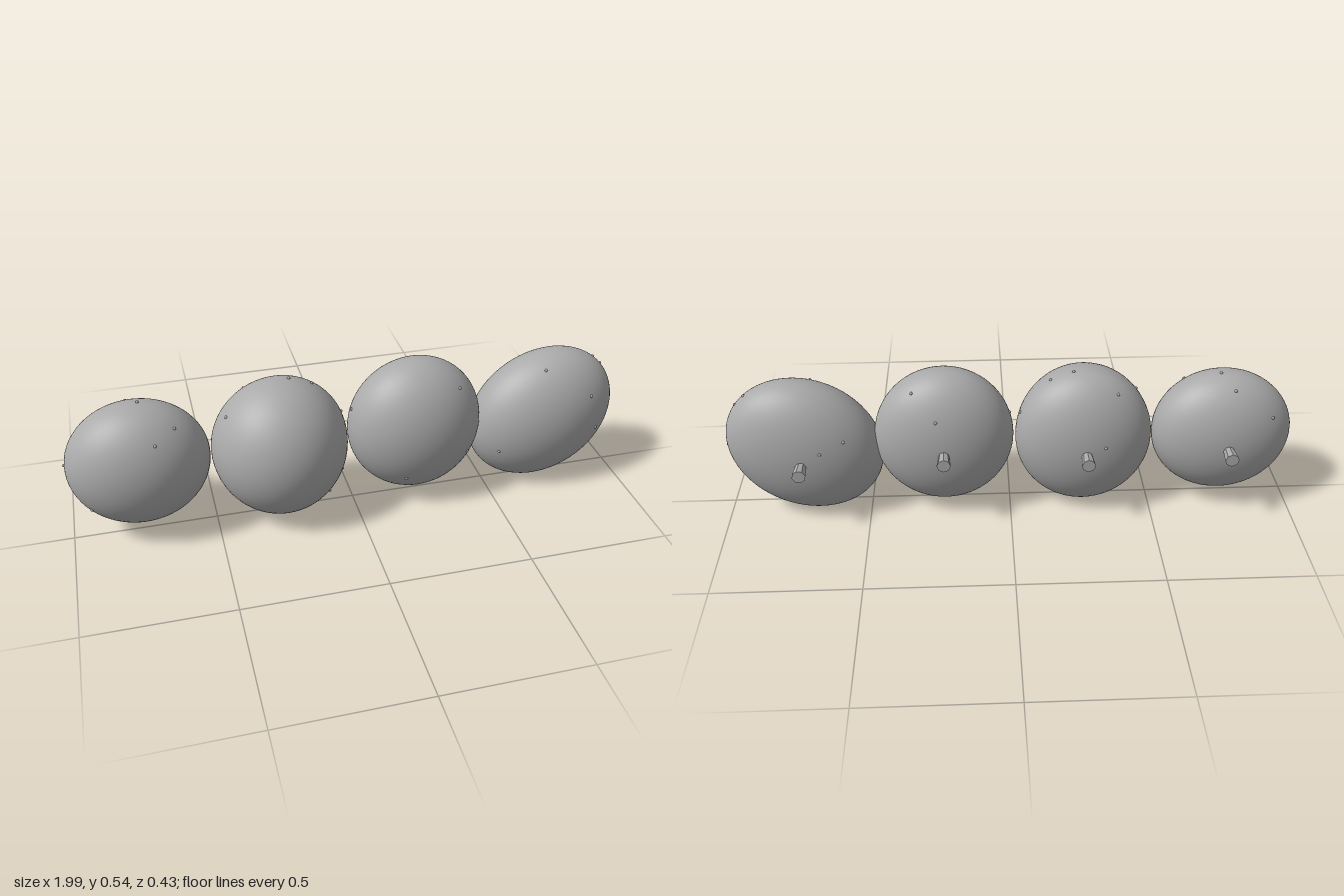
import * as THREE from 'three';

const SEAM = -0.017; // z plane of each body's widest outline
const BACK = 0.145; // depth behind that plane

// rim: bead angles around the outline in degrees; face: beads [x, y, side], side 1 = front, -1 = back
const BODIES = [
  { x: -0.748, y: 0.279, rx: 0.245, ry: 0.229, front: 0.175, tilt: 0,
    rim: [85, 175, 218, 250, 266, 281, 310],
    face: [[-0.69, 0.414, 1], [-0.62, 0.44, 1], [-0.922, 0.163, 1], [-0.765, 0.477, -1], [-0.9, 0.38, -1]] },
  { x: -0.26, y: 0.271, rx: 0.24, ry: 0.258, front: 0.234, tilt: 0,
    rim: [22, 60, 80, 278, 300],
    face: [[-0.444, 0.43, 1], [-0.05, 0.174, 1], [-0.107, 0.115, 1], [-0.366, 0.47, -1], [-0.323, 0.3, -1]] },
  { x: 0.23, y: 0.285, rx: 0.243, ry: 0.255, front: 0.178, tilt: 0,
    rim: [161, 329],
    face: [[0.366, 0.452, 1], [0.4, 0.198, 1], [0.168, 0.136, 1], [0.254, 0.41, -1], [0.334, 0.489, -1]] },
  { x: 0.717, y: 0.255, rx: 0.2815, ry: 0.239, front: 0.17, tilt: 0.56,
    rim: [6, 17, 325],
    face: [[0.69, 0.47, 1], [0.853, 0.37, 1], [0.89, 0.23, 1], [0.524, 0.174, 1], [0.57, 0.33, -1], [0.65, 0.3, -1]] },
];

// Ellipsoid whose front half is deeper than its back half, with smooth normals
function bodyGeometry({ rx, ry, front }) {
  const geo = new THREE.SphereGeometry(1, 64, 40).rotateX(Math.PI / 2);
  const p = geo.attributes.position;
  const n = new THREE.Vector3();
  for (let i = 0; i < p.count; i++) {
    const x = p.getX(i), y = p.getY(i), z = p.getZ(i);
    const rz = z > 0 ? front : BACK;
    p.setXYZ(i, x * rx, y * ry, z * rz);
    n.set(x / rx, y / ry, z / rz).normalize();
    geo.attributes.normal.setXYZ(i, n.x, n.y, n.z);
  }
  return geo;
}

// Bead position on the outline, in the body's own frame
function rimPoint(b, degrees) {
  const a = THREE.MathUtils.degToRad(degrees);
  return new THREE.Vector3(b.rx * Math.cos(a), b.ry * Math.sin(a), 0);
}

// Bead position on the front or back surface, in the body's own frame
function facePoint(b, [x, y, side]) {
  const p = new THREE.Vector3(x - b.x, y - b.y, 0).applyAxisAngle(new THREE.Vector3(0, 0, 1), -b.tilt);
  const depth = Math.sqrt(Math.max(0, 1 - (p.x / b.rx) ** 2 - (p.y / b.ry) ** 2));
  p.z = side * depth * (side > 0 ? b.front : BACK);
  return p;
}

export function createModel() {
  const model = new THREE.Group();
  model.name = 'podRow';
  const grey = new THREE.MeshStandardMaterial({ color: 0xaaaaaa });
  grey.name = 'grey';

  const beadGeo = new THREE.SphereGeometry(0.0055, 12, 8);
  // Faceted stub, flaring slightly towards its free end at the back
  const stubGeo = new THREE.CylinderGeometry(0.018, 0.024, 0.067, 8).toNonIndexed();
  stubGeo.computeVertexNormals();
  stubGeo.rotateX(Math.PI / 2);

  for (const b of BODIES) {
    const pod = new THREE.Group();
    pod.name = 'pod';
    pod.position.set(b.x, b.y, SEAM);
    pod.rotation.z = b.tilt;

    const body = new THREE.Mesh(bodyGeometry(b), grey);
    body.name = 'body';

    const stub = new THREE.Mesh(stubGeo, grey);
    stub.name = 'backStub';
    stub.position.z = -0.1665;
    pod.add(body, stub);

    // Tiny beads scattered on the surface
    const points = [...b.rim.map((a) => rimPoint(b, a)), ...b.face.map((f) => facePoint(b, f))];
    for (const point of points) {
      const bead = new THREE.Mesh(beadGeo, grey);
      bead.name = 'bead';
      bead.position.copy(point);
      pod.add(bead);
    }
    model.add(pod);
  }
  return model;
}
